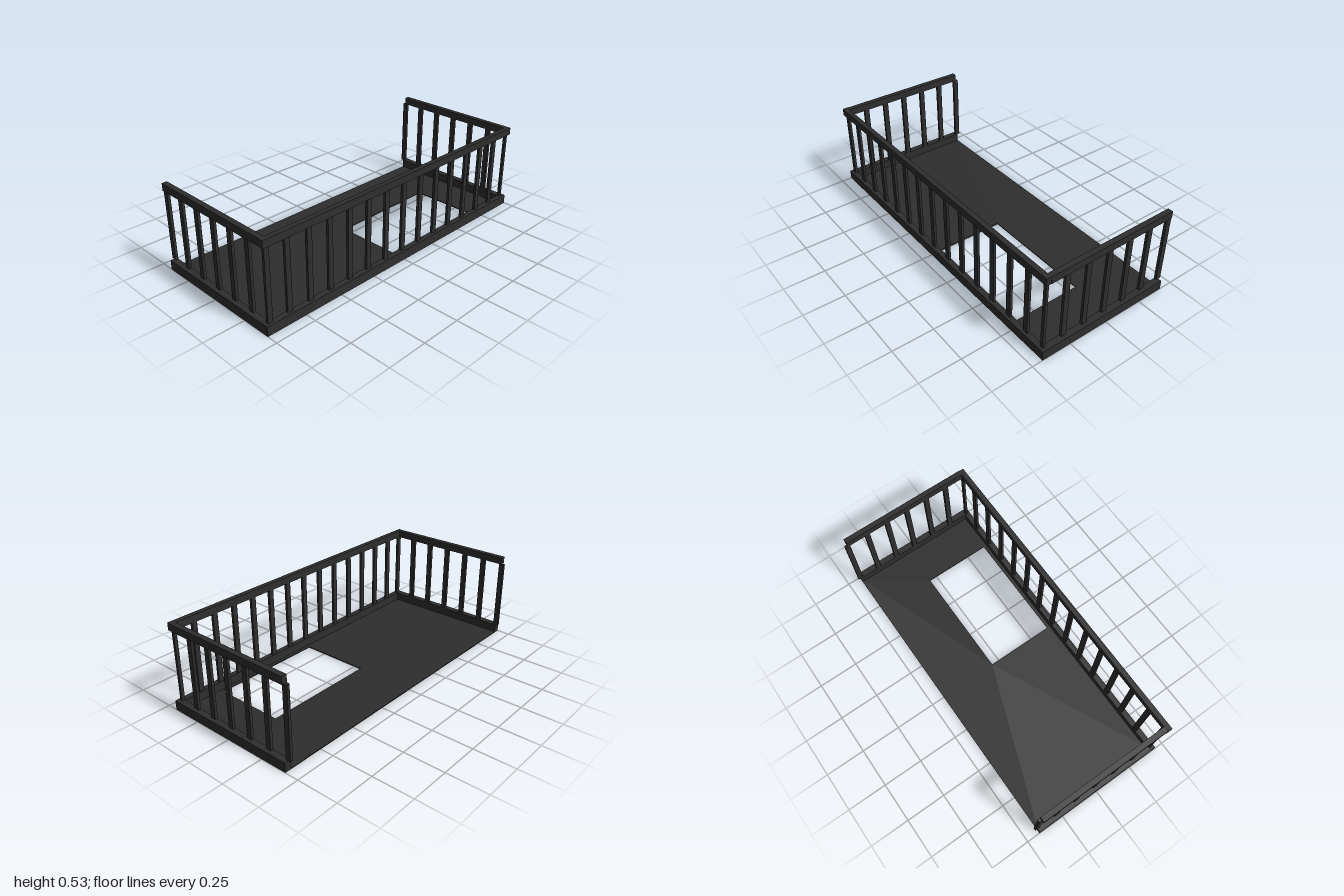
import * as THREE from 'three';

export function createModel() {
  const model = new THREE.Group();
  model.name = 'balcony';
  const material = new THREE.MeshStandardMaterial({ color: 0x2e2e2e });

  // Box given by its min and max corners
  function box(name, [x0, y0, z0], [x1, y1, z1]) {
    const mesh = new THREE.Mesh(new THREE.BoxGeometry(x1 - x0, y1 - y0, z1 - z0), material);
    mesh.position.set((x0 + x1) / 2, (y0 + y1) / 2, (z0 + z1) / 2);
    mesh.name = name;
    model.add(mesh);
  }

  const back = -0.417, curbTop = 0.058, railBottom = 0.488, railTop = 0.532;

  // Floor plate with the rectangular stair opening
  const plate = new THREE.Shape();
  plate.moveTo(-0.99, -0.42).lineTo(0.99, -0.42).lineTo(0.99, 0.417).lineTo(-0.99, 0.417).closePath();
  const opening = new THREE.Path();
  opening.moveTo(0, -0.38).lineTo(0, 0.05).lineTo(0.713, 0.05).lineTo(0.713, -0.38).closePath();
  plate.holes.push(opening);
  const floorGeometry = new THREE.ExtrudeGeometry(plate, { depth: 0.006, bevelEnabled: false });
  floorGeometry.rotateX(-Math.PI / 2);
  const floor = new THREE.Mesh(floorGeometry, material);
  floor.name = 'floor';
  model.add(floor);

  // Front curb and handrail
  box('frontCurb', [-1, 0, 0.4], [1, curbTop, 0.435]);
  box('frontRail', [-0.994, railBottom, 0.4], [0.99, railTop, 0.43]);

  // Side curbs and handrails
  for (const [label, s] of [['left', 1], ['right', -1]]) {
    const span = (a, b) => (s > 0 ? [a, b] : [-b, -a]);
    const [c0, c1] = span(0.96, 1);
    box(label + 'Curb', [c0, 0, back], [c1, curbTop, 0.4]);
    const [r0, r1] = span(0.96, 0.992);
    box(label + 'Rail', [r0, railBottom, back], [r1, railTop, 0.4]);

    // Side balusters, flat bars turned along z
    const [p0, p1] = span(0.96, 0.977);
    for (let i = -3; i <= 2; i++) {
      const z = i === -3 ? back : i * 0.14;
      box(label + 'Baluster', [p0, curbTop, z - 0.016], [p1, railBottom, z + 0.016]);
    }
  }

  // Front balusters, flat bars turned along x
  const frontBaluster = (x, w) =>
    box('frontBaluster', [x - w / 2, curbTop, 0.403], [x + w / 2, railBottom, 0.419]);
  for (let i = -6; i <= 6; i++) frontBaluster(i * 0.14, 0.032);
  frontBaluster(-0.966, 0.03);
  frontBaluster(0.968, 0.02);

  return model;
}
